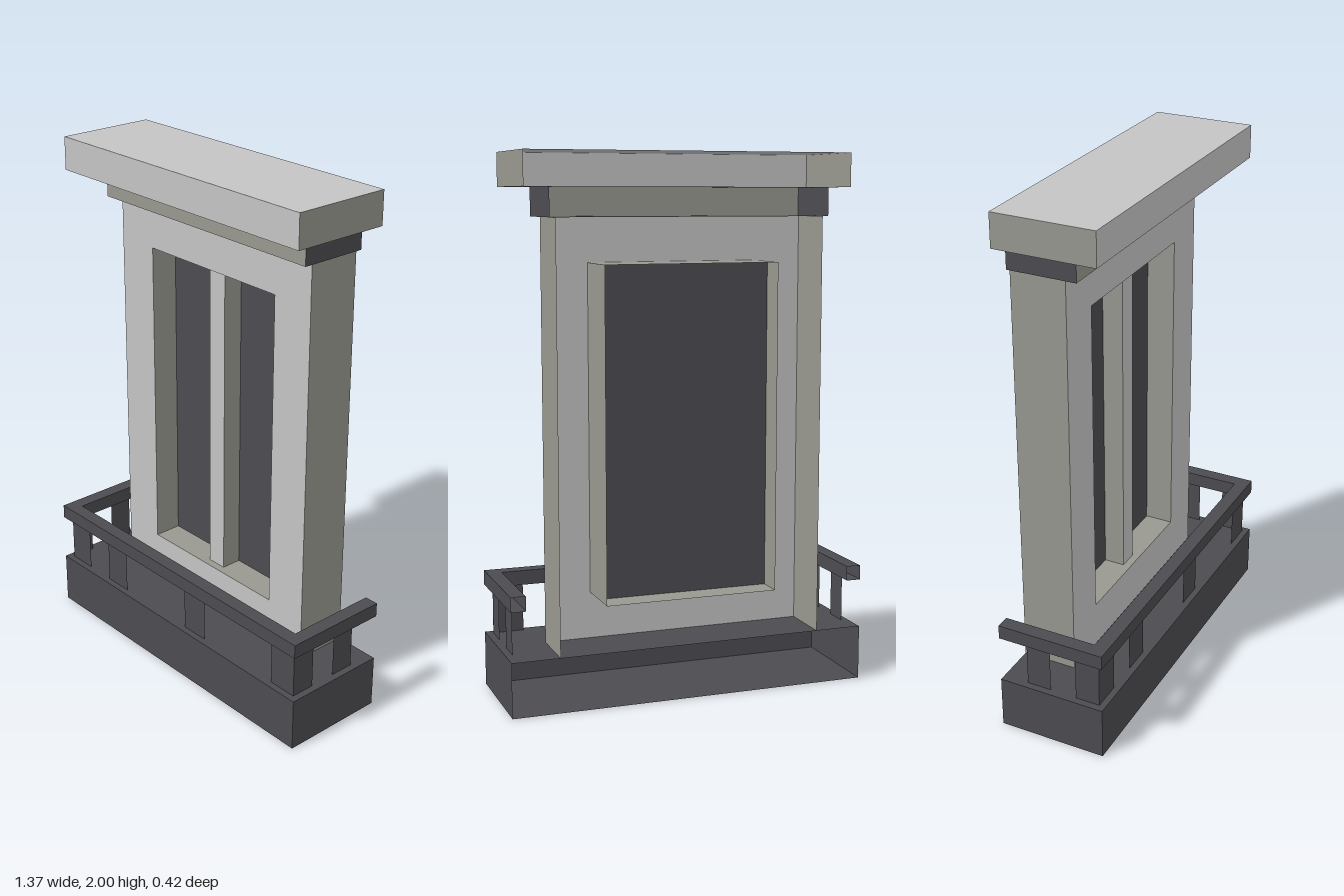
import * as THREE from 'three';

const BACK = -0.21;

const mat = (name, color) => {
  const m = new THREE.MeshStandardMaterial({ color, side: THREE.DoubleSide });
  m.name = name;
  return m;
};

export function createModel() {
  const light = mat('lightStone', 0xc4c4c4);
  const beige = mat('shadedStone', 0x989890);
  const dark = mat('darkGrey', 0x4c4b50);
  const model = new THREE.Group();
  model.name = 'windowWithBalcony';

  const add = (name, geometry, material, x = 0, y = 0, z = 0, parent = model) => {
    const mesh = new THREE.Mesh(geometry, material);
    mesh.name = name;
    mesh.position.set(x, y, z);
    parent.add(mesh);
    return mesh;
  };

  // Box given by its limits, with the back face left open
  const openBox = (name, [x0, x1], [y0, y1], [z0, z1], material, parent = model) => {
    const g = new THREE.BoxGeometry(x1 - x0, y1 - y0, z1 - z0);
    g.setIndex(Array.from(g.index.array).slice(0, 30));
    g.groups.pop();
    if (!Array.isArray(material)) g.clearGroups();
    return add(name, g, material, (x0 + x1) / 2, (y0 + y1) / 2, (z0 + z1) / 2, parent);
  };

  // Balcony base
  openBox('balconyBase', [-0.685, 0.685], [0, 0.205], [BACK, 0.21], dark);

  // Wall front with the window opening
  const wall = new THREE.Shape();
  wall.moveTo(-0.505, 0.205).lineTo(0.505, 0.205).lineTo(0.505, 1.77).lineTo(-0.505, 1.77).closePath();
  const hole = new THREE.Path();
  hole.moveTo(-0.33, 0.38).lineTo(-0.33, 1.605).lineTo(0.33, 1.605).lineTo(0.33, 0.38).closePath();
  wall.holes.push(hole);
  add('wallFront', new THREE.ShapeGeometry(wall), light);

  // Wall sides and window jambs run to the back
  for (const s of [-1, 1]) {
    const side = add('wallSide', new THREE.PlaneGeometry(0.21, 1.565), beige, s * 0.505, 0.9875, BACK / 2);
    side.rotation.y = s * Math.PI / 2;
    const jamb = add('windowJamb', new THREE.PlaneGeometry(0.21, 1.225), beige, s * 0.33, 0.9925, BACK / 2);
    jamb.rotation.y = -s * Math.PI / 2;
  }
  const sill = add('windowSill', new THREE.PlaneGeometry(0.66, 0.21), beige, 0, 0.38, BACK / 2);
  sill.rotation.x = -Math.PI / 2;
  const head = add('windowHead', new THREE.PlaneGeometry(0.66, 0.21), beige, 0, 1.605, BACK / 2);
  head.rotation.x = Math.PI / 2;

  // Recessed pane and centre bar
  add('windowPane', new THREE.PlaneGeometry(0.66, 1.225), dark, 0, 0.9925, -0.11);
  openBox('windowBar', [-0.04, 0.04], [0.38, 1.605], [-0.11, -0.03],
    [beige, beige, beige, beige, light]);

  // Two-step cornice; face order: left, right, top, bottom, front
  openBox('lowerCornice', [-0.527, 0.527], [1.77, 1.875], [BACK, 0.053],
    [dark, dark, dark, dark, beige]);
  openBox('upperCornice', [-0.617, 0.617], [1.875, 2], [BACK, 0.175],
    [beige, beige, light, beige, light]);

  // Balcony rail
  const railing = new THREE.Group();
  railing.name = 'railing';
  model.add(railing);
  const railY = [0.39, 0.445];
  add('frontRail', new THREE.BoxGeometry(1.26, 0.055, 0.055), dark, 0, 0.4175, 0.1825, railing);
  openBox('leftRail', [0.63, 0.685], railY, [BACK, 0.21], dark, railing);
  openBox('rightRail', [-0.685, -0.63], railY, [BACK, 0.21], dark, railing);

  // Flat posts under the rail
  for (const x of [-0.6, -0.36, 0.115, 0.6])
    add('frontPost', new THREE.PlaneGeometry(0.117, 0.185), dark, x, 0.2975, 0.185, railing);
  for (const s of [-1, 1])
    for (const z of [0.137, -0.063]) {
      const post = add('sidePost', new THREE.PlaneGeometry(0.096, 0.185), dark, s * 0.658, 0.2975, z, railing);
      post.rotation.y = s * Math.PI / 2;
    }

  return model;
}
